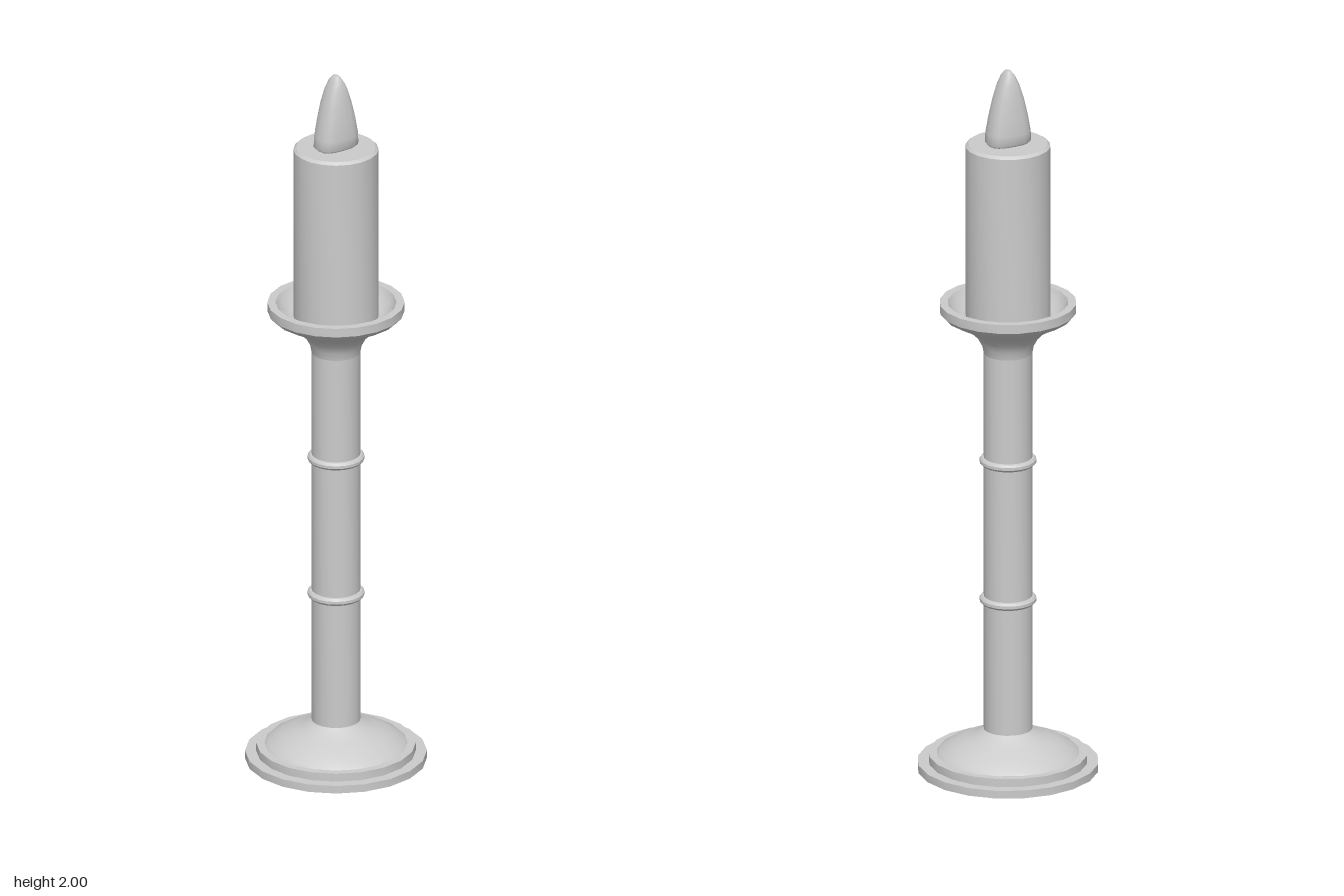
import * as THREE from 'three';
import { toCreasedNormals, mergeVertices } from 'three/addons/utils/BufferGeometryUtils.js';

const SIDES = 20;
const material = new THREE.MeshStandardMaterial({ color: 0xcccccc, side: THREE.DoubleSide });

// Turned part from [radius, height] pairs, listed from bottom to top
function turned(name, profile) {
  const points = profile.map(([r, y]) => new THREE.Vector2(r, y));
  const geometry = toCreasedNormals(new THREE.LatheGeometry(points, SIDES), 0.6);
  const mesh = new THREE.Mesh(geometry, material);
  mesh.name = name;
  return mesh;
}

// Flame: rounded-oblong sections [y, half width, half depth], thin in x and closed to a tip
function flameGeometry() {
  const sections = [
    [1.788, 0, 0], [1.788, 0.034, 0.055], [1.797, 0.043, 0.063], [1.825, 0.045, 0.061],
    [1.87, 0.041, 0.053], [1.92, 0.036, 0.041], [1.96, 0.029, 0.028],
    [1.985, 0.021, 0.016], [1.997, 0.011, 0.007], [2, 0, 0],
  ];
  const around = 16;
  const soften = (v) => Math.sign(v) * Math.abs(v) ** 0.75;
  const positions = [];
  const index = [];
  sections.forEach(([y, w, d], row) => {
    for (let i = 0; i < around; i++) {
      const a = (i / around) * Math.PI * 2;
      positions.push(w * soften(Math.sin(a)), y, d * soften(Math.cos(a)));
      if (row === 0) continue;
      const j = (i + 1) % around;
      const low = (row - 1) * around;
      const high = row * around;
      index.push(low + i, low + j, high + j, low + i, high + j, high + i);
    }
  });
  const geometry = new THREE.BufferGeometry();
  geometry.setAttribute('position', new THREE.Float32BufferAttribute(positions, 3));
  geometry.setIndex(index);
  const welded = mergeVertices(geometry);
  welded.computeVertexNormals();
  return welded;
}

export function createModel() {
  const model = new THREE.Group();
  model.name = 'candlestick';

  // Hollow stepped foot, open underneath
  model.add(turned('base', [
    [0.245, 0], [0.245, 0.022], [0.215, 0.022], [0.215, 0.045], [0.193, 0.045],
    [0.184, 0.054], [0.15, 0.073], [0.115, 0.088], [0.085, 0.1], [0.066, 0.115],
  ]));

  // Column tube
  model.add(turned('stem', [[0.066, 0.115], [0.066, 1.19]]));

  // Two beads round the column
  for (const y of [0.485, 0.882]) {
    model.add(turned('stemRing', [
      [0.065, y - 0.011], [0.072, y - 0.01], [0.077, y - 0.004],
      [0.077, y + 0.004], [0.072, y + 0.01], [0.065, y + 0.011],
    ]));
  }

  // Flared cup with a sunken floor
  model.add(turned('cup', [
    [0.066, 1.19], [0.07, 1.212], [0.083, 1.236], [0.104, 1.257], [0.135, 1.277],
    [0.172, 1.296], [0.185, 1.31], [0.185, 1.335], [0.163, 1.335],
    [0.15, 1.312], [0.126, 1.296], [0, 1.293],
  ]));

  // Candle with a small bevel at the top
  model.add(turned('candle', [[0, 1.295], [0.115, 1.295], [0.115, 1.783], [0.107, 1.79], [0, 1.79]]));

  const flame = new THREE.Mesh(flameGeometry(), material);
  flame.name = 'flame';
  model.add(flame);

  return model;
}
